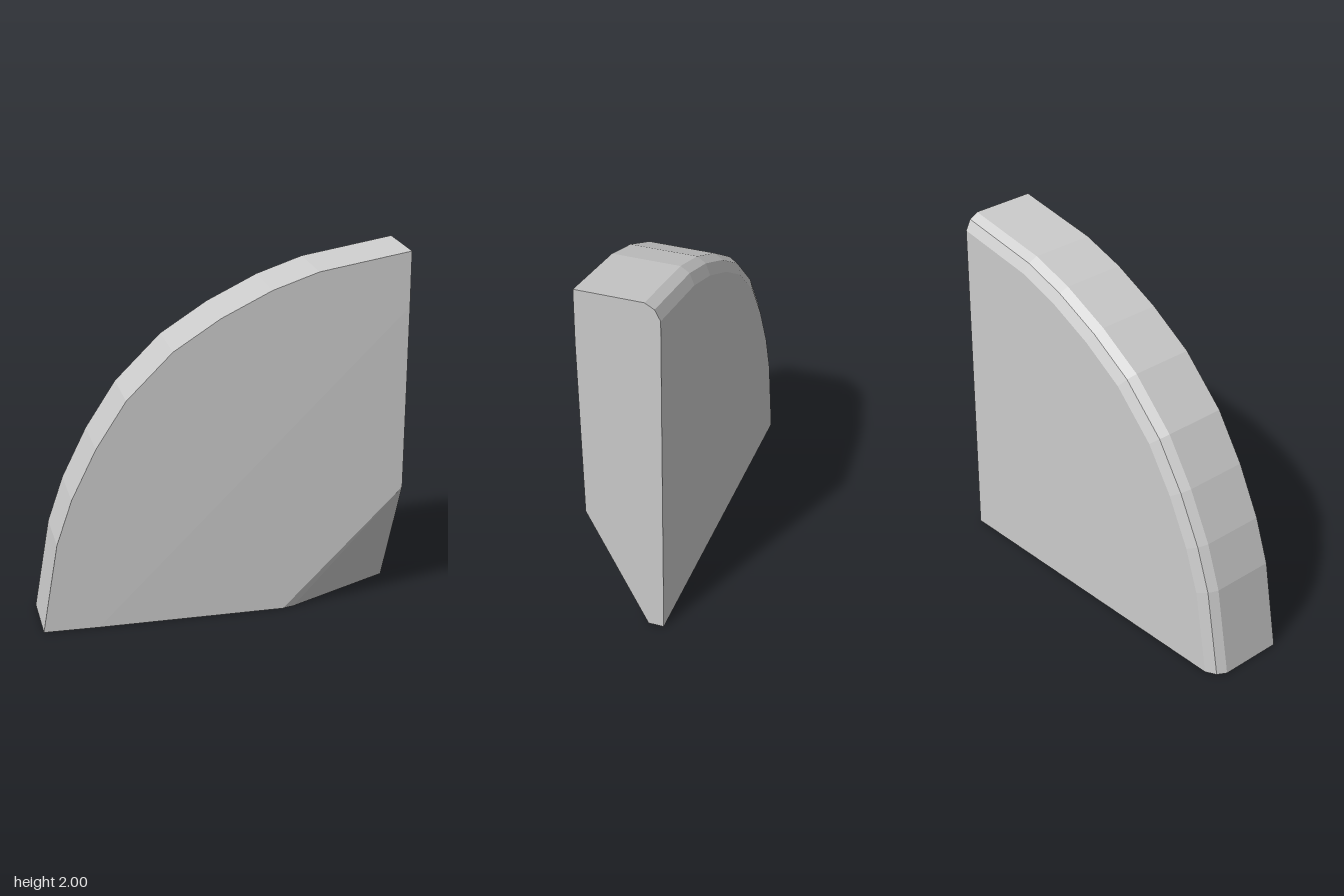
import * as THREE from 'three';

// Builds a flat-shaded mesh from convex polygons, each wound counter-clockwise from outside
function polygonMesh(name, polygons, material) {
  const pos = [];
  for (const p of polygons) {
    for (let i = 1; i < p.length - 1; i++) pos.push(...p[0], ...p[i], ...p[i + 1]);
  }
  const g = new THREE.BufferGeometry();
  g.setAttribute('position', new THREE.Float32BufferAttribute(pos, 3));
  g.computeVertexNormals();
  const mesh = new THREE.Mesh(g, material);
  mesh.name = name;
  return mesh;
}

export function createModel() {
  const group = new THREE.Group();
  group.name = 'quarterRoundPanel';
  const material = new THREE.MeshStandardMaterial({ color: 0xcccccc, flatShading: true });

  // Quarter arc around the square corner (1, 0): half of it, then its mirror image
  const half = [[2, 0], [1.915, 0.5], [1.83, 0.75], [1.695, 1.025], [1.53, 1.28]];
  const arc = [...half, ...half.map(([a, b]) => [b, a]).reverse()];
  const F = 0.22, B = -0.22;

  // Arc sections from front to back; the last three form the rounded back edge
  const rings = [[1, F], [1, -0.14], [0.986, -0.19], [0.957, B]]
    .map(([s, z]) => arc.map(([a, b]) => [1 - a * s, b * s, z]));
  const start = rings.map(r => r[0]);
  const end = rings.map(r => r[r.length - 1]);

  // Corners of the gently sloped front area and the cut-off corner
  const slopeLow = [-0.7, 0, F], slopeHigh = [1, 1.7, F];
  const cutLow = [0.333, 0, 0.2], cutHigh = [1, 0.667, 0.2];
  const cutInner = [0.4, 0, 0.18], cutBack = [1, 0, -0.135];
  const backCorner = [1, 0, B];

  // Curved outer wall and rounded back edge
  const strip = k => arc.slice(1).map((_, i) =>
    [rings[k + 1][i], rings[k][i], rings[k][i + 1], rings[k + 1][i + 1]]);
  group.add(polygonMesh('curvedWall', strip(0), material));
  group.add(polygonMesh('roundedBackEdge', [...strip(1), ...strip(2)], material));

  // Front, with its slight slope towards the cut corner
  group.add(polygonMesh('frontFace', [
    [slopeLow, slopeHigh, ...[...rings[0]].reverse()],
    [slopeLow, cutLow, cutHigh, slopeHigh],
  ], material));

  // Slanted corner cut with its narrow bevel
  group.add(polygonMesh('cornerCut', [
    [cutLow, cutInner, cutHigh],
    [cutInner, cutBack, cutHigh],
  ], material));

  // Flat back and the two straight sides
  group.add(polygonMesh('backFace', [[backCorner, ...rings[3]]], material));
  group.add(polygonMesh('straightSide',
    [[cutBack, backCorner, ...[...end].reverse(), slopeHigh, cutHigh]], material));
  group.add(polygonMesh('bottomSide',
    [[...start, backCorner, cutBack, cutInner, cutLow, slopeLow]], material));

  return group;
}
